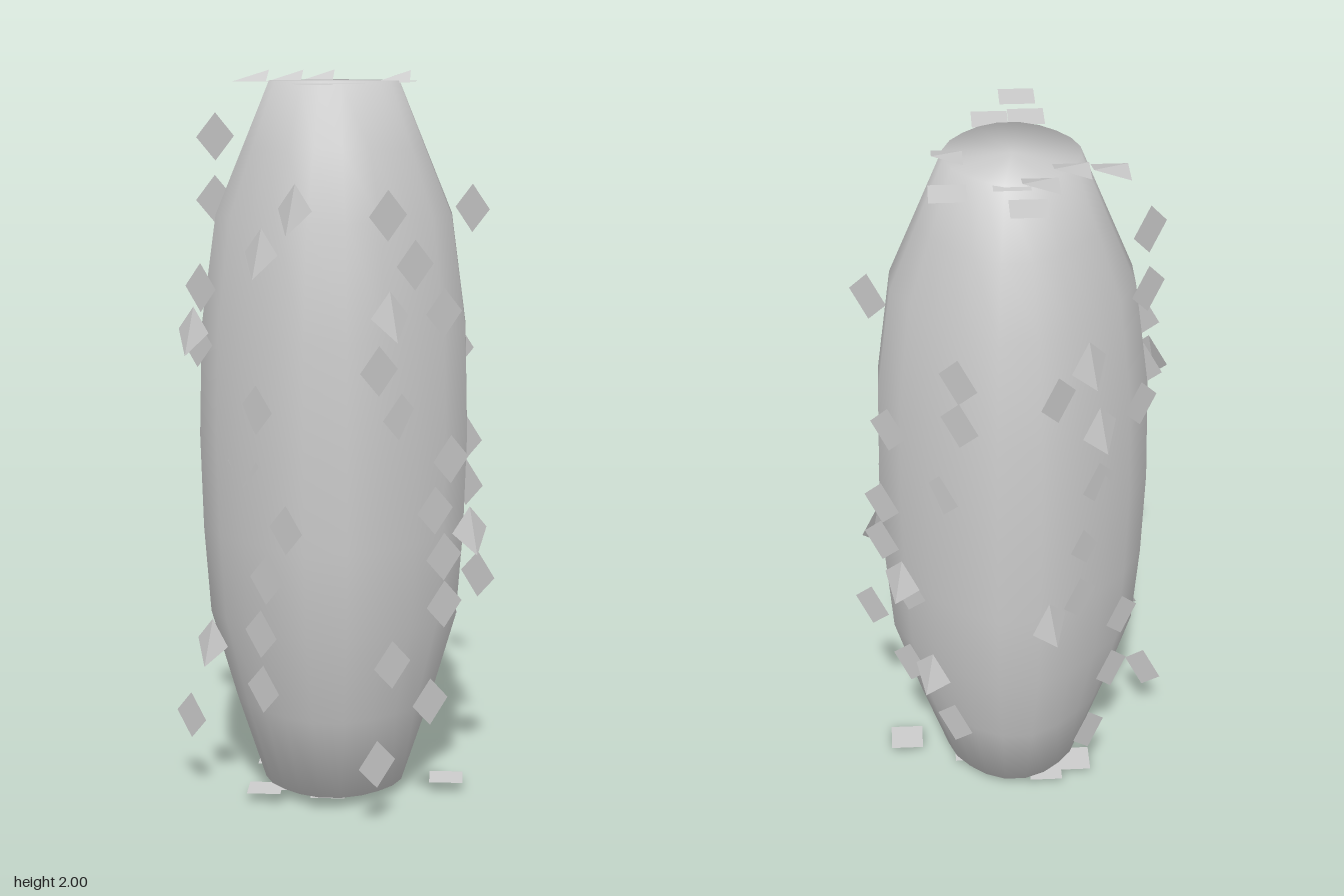
import * as THREE from 'three';
import { mergeVertices } from 'three/addons/utils/BufferGeometryUtils.js';

const HALF = 0.33, BOTTOM = 0.03, TOP = 1.97, SCALE_R = 0.066, LIFT = 0.031;

// Barrel body: lathe profile pushed out to a rounded-square section
function bodyGeometry() {
  const profile = [[0, 0.03], [0.185, 0.03], [0.25, 0.27], [0.31, 0.52], [0.326, 0.76], [0.333, 1.02],
    [0.326, 1.32], [0.29, 1.62], [0.23, 1.8], [0.168, 1.975], [0, 1.975]];
  const lathe = new THREE.LatheGeometry(profile.map(([r, y]) => new THREE.Vector2(r, y)), 20);
  lathe.deleteAttribute('uv');
  lathe.deleteAttribute('normal');
  const p = lathe.attributes.position;
  for (let i = 0; i < p.count; i++) {
    const x = p.getX(i), z = p.getZ(i), r = Math.hypot(x, z);
    if (r < 1e-6) { p.setXYZ(i, 0, p.getY(i), 0); continue; }
    const n = 2.3 + 0.7 * THREE.MathUtils.smoothstep(r, 0.17, 0.31);
    const k = Math.pow(Math.pow(Math.abs(x / r), n) + Math.pow(Math.abs(z / r), n), -1 / n);
    p.setXYZ(i, x * k, p.getY(i), z * k);
  }
  const geometry = mergeVertices(lathe, 1e-4);
  geometry.computeVertexNormals();
  return geometry;
}

// Diamond scale with a ridge; a lift raises its lower tip
function scaleGeometry(lift) {
  const r = SCALE_R;
  const geometry = new THREE.BufferGeometry();
  geometry.setAttribute('position', new THREE.Float32BufferAttribute([
    0, r, 0, -r, 0, 0, 0, -r, lift,
    0, r, 0, 0, -r, lift, r, 0, 0,
  ], 3));
  geometry.computeVertexNormals();
  return geometry;
}

// Small seeded generator for the scattered flat scales
function seeded(seed) {
  let s = seed;
  return () => (s = (s * 16807) % 2147483647) / 2147483647;
}

// Scales lie on the six sides of a box around the body; raised ones are placed, flat ones scattered
const sides = [
  { name: 'front', rotation: [0, 0, 0], at: (x, y) => [x, y, HALF], flats: 9, low: 0.22, high: 1.43,
    raised: [[0.225, 1.66], [0.09, 1.54], [-0.2, 1.31], [-0.13, 0.455]] },
  { name: 'back', rotation: [0, Math.PI, 0], at: (x, y) => [x, y, -HALF], flats: 11, low: 0.35, high: 1.63,
    raised: [[0.11, 0.76], [0, 0.49]] },
  { name: 'left', rotation: [0, Math.PI / 2, 0], at: (z, y) => [HALF, y, z], flats: 12, low: 0.18, high: 1.64,
    raised: [[0.1, 1.38], [-0.2, 0.77]] },
  { name: 'right', rotation: [0, -Math.PI / 2, 0], at: (z, y) => [-HALF, y, z], flats: 10, low: 0.28, high: 1.82,
    raised: [[-0.08, 1.53], [-0.03, 1.31], [-0.22, 0.78]] },
  { name: 'top', rotation: [-Math.PI / 2, 0, Math.PI], at: (x, z) => [x, TOP, z], flats: 8, low: -0.26, high: 0.26,
    raised: [[-0.165, -0.08], [-0.17, 0.03], [-0.245, 0.09], [0.1, -0.12]] },
  { name: 'bottom', rotation: [Math.PI / 2, 0, 0], at: (x, z) => [x, BOTTOM, z], flats: 6, low: -0.22, high: 0.22,
    raised: [[0.1, 0.11]] },
];

export function createModel() {
  const model = new THREE.Group();
  model.name = 'scalyBarrel';

  const body = new THREE.Mesh(bodyGeometry(), new THREE.MeshStandardMaterial({ color: 0xcccccc }));
  body.name = 'body';
  model.add(body);

  const material = new THREE.MeshStandardMaterial({ color: 0xcccccc, flatShading: true, side: THREE.DoubleSide });
  const flatScale = scaleGeometry(0), raisedScale = scaleGeometry(LIFT);
  const random = seeded(4711);

  for (const { name, rotation, at, flats, low, high, raised } of sides) {
    const group = new THREE.Group();
    group.name = name + 'Scales';
    const addScale = (geometry, label, a, b) => {
      const scale = new THREE.Mesh(geometry, material);
      scale.name = label;
      scale.position.set(...at(a, b));
      scale.rotation.set(...rotation);
      group.add(scale);
    };
    for (const [a, b] of raised) addScale(raisedScale, 'raisedScale', a, b);
    // Flat scales: even steps along the side, random offset across it
    for (let i = 0; i < flats; i++) {
      const across = (random() - 0.5) * 0.5;
      addScale(flatScale, 'flatScale', across, THREE.MathUtils.lerp(low, high, i / (flats - 1)));
    }
    model.add(group);
  }
  return model;
}
